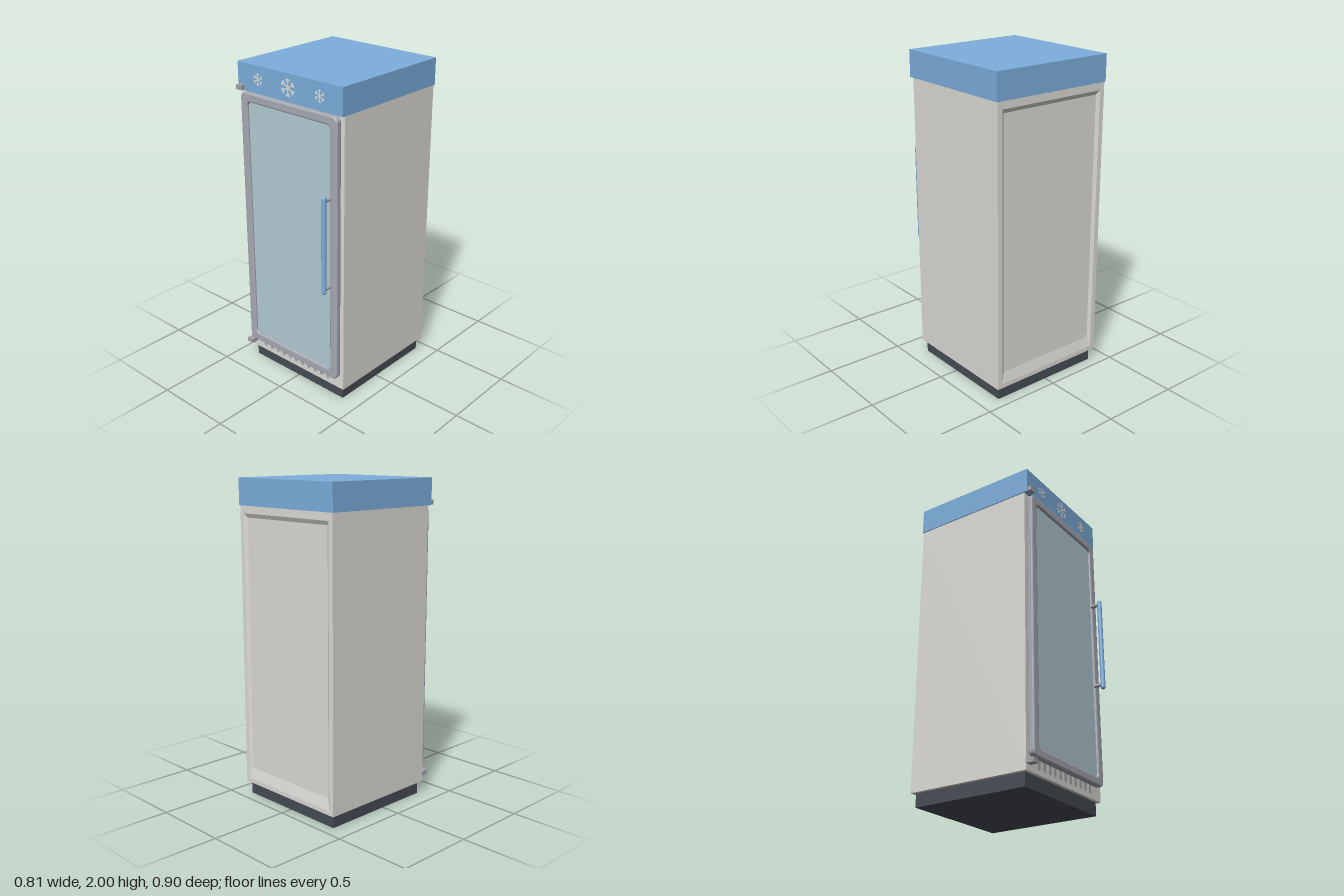
import * as THREE from 'three';

const material = (name, color, side = THREE.FrontSide) => {
  const m = new THREE.MeshStandardMaterial({ color, side });
  m.name = name;
  return m;
};

// Rounded rectangle centred on cx, cy; works for shapes and holes
function roundedRect(path, cx, cy, w, h, r) {
  const x = w / 2 - r, y = h / 2 - r;
  path.absarc(cx + x, cy + y, r, 0, Math.PI / 2);
  path.absarc(cx - x, cy + y, r, Math.PI / 2, Math.PI);
  path.absarc(cx - x, cy - y, r, Math.PI, Math.PI * 1.5);
  path.absarc(cx + x, cy - y, r, Math.PI * 1.5, Math.PI * 2);
  path.closePath();
  return path;
}

// Skin over rectangles [halfWidth, bottom, top, z], listed from front to back
function loftRects(rects) {
  const rings = rects.map(([w, b, t, z]) => [[-w, b, z], [w, b, z], [w, t, z], [-w, t, z]]);
  const pos = [];
  for (let i = 0; i < rings.length - 1; i++) {
    for (let k = 0; k < 4; k++) {
      const n = (k + 1) % 4;
      const a = rings[i][k], b = rings[i][n], c = rings[i + 1][k], d = rings[i + 1][n];
      pos.push(...a, ...c, ...b, ...b, ...c, ...d);
    }
  }
  const g = new THREE.BufferGeometry();
  g.setAttribute('position', new THREE.Float32BufferAttribute(pos, 3));
  g.computeVertexNormals();
  return g;
}

export function createModel() {
  const root = new THREE.Group();
  root.name = 'displayFridge';

  const blue = material('blue', 0x7dafde);
  const shell = material('warm white', 0xdedcd7);
  const grey = material('frame grey', 0xa8abb4);
  const glassMat = material('glass', 0xb4ccd6);
  const dark = material('dark base', 0x474d55);
  const metal = material('hinge metal', 0xa6a6aa);
  const white = material('snow white', 0xe0ded9, THREE.DoubleSide);

  const add = (name, geometry, mat, x = 0, y = 0, z = 0, parent = root) => {
    const mesh = new THREE.Mesh(geometry, mat);
    mesh.name = name;
    mesh.position.set(x, y, z);
    parent.add(mesh);
    return mesh;
  };
  const box = (name, w, h, d, mat, x, y, z) =>
    add(name, new THREE.BoxGeometry(w, h, d), mat, x, y, z);

  // Plinth, cabinet with a shallow recessed back panel, and header
  box('base', 0.75, 0.084, 0.75, dark, 0, 0.042, -0.051);
  add('cabinet', loftRects([
    [0, 0.96, 0.96, 0.346],
    [0.397, 0.082, 1.838, 0.346],
    [0.397, 0.082, 1.838, -0.449],
    [0.365, 0.11, 1.79, -0.449],
    [0.345, 0.18, 1.765, -0.436],
    [0, 0.96, 0.96, -0.436],
  ]), shell);
  box('header', 0.806, 0.164, 0.822, blue, 0, 1.918, -0.042);

  // Door: bevelled frame with a window opening
  const bevel = 0.01;
  const outline = roundedRect(new THREE.Shape(), 0, 0.995, 0.75 - 2 * bevel, 1.67 - 2 * bevel, 0.025);
  outline.holes.push(roundedRect(new THREE.Path(), 0, 0.995, 0.64 + 2 * bevel, 1.56 + 2 * bevel, 0.035));
  add('doorFrame', new THREE.ExtrudeGeometry(outline, {
    depth: 0.02, bevelEnabled: true, bevelSize: bevel, bevelThickness: bevel,
    bevelSegments: 3, curveSegments: 6,
  }), grey, 0, 0, 0.355);
  box('glass', 0.65, 1.57, 0.025, glassMat, 0, 0.995, 0.359);

  // Round-ended handle bar on two posts
  add('handle', new THREE.CapsuleGeometry(0.015, 0.587, 4, 20), blue, 0.325, 1.073, 0.437);
  for (const y of [0.797, 1.352]) {
    const post = add('handlePost', new THREE.CylinderGeometry(0.012, 0.012, 0.06, 16), metal, 0.325, y, 0.408);
    post.rotation.x = Math.PI / 2;
  }

  // Hinges
  for (const y of [0.133, 1.853]) box('hinge', 0.044, 0.028, 0.052, metal, -0.376, y, 0.368);

  // Vent slots below the door
  const slot = new THREE.ShapeGeometry(roundedRect(new THREE.Shape(), 0, 0, 0.025, 0.07, 0.012), 6);
  for (let i = -5; i <= 5; i++) add('ventSlot', slot, grey, i * 0.0545, 0.145, 0.348);

  // Snowflakes: six arms, each with a pair of side twigs near the tip
  const plate = (w, h) => new THREE.BoxGeometry(w, h, 0.003);
  const stem = plate(0.15, 0.95), twig = plate(0.17, 0.36);
  const snowflake = (x, size) => {
    const flake = new THREE.Group();
    flake.name = 'snowflake';
    flake.position.set(x, 1.918, 0.3695);
    flake.scale.set(size, size, 1);
    for (let i = 0; i < 6; i++) {
      const arm = new THREE.Group();
      arm.name = 'snowflakeArm';
      arm.rotation.z = i * Math.PI / 3;
      add('stem', stem, white, 0, 0.475, 0, arm);
      for (const s of [-1, 1]) add('twig', twig, white, s * 0.13, 0.74, 0, arm).rotation.z = -s * 0.75;
      flake.add(arm);
    }
    root.add(flake);
  };
  snowflake(0, 0.056);
  for (const s of [-1, 1]) snowflake(s * 0.238, 0.038);

  return root;
}
